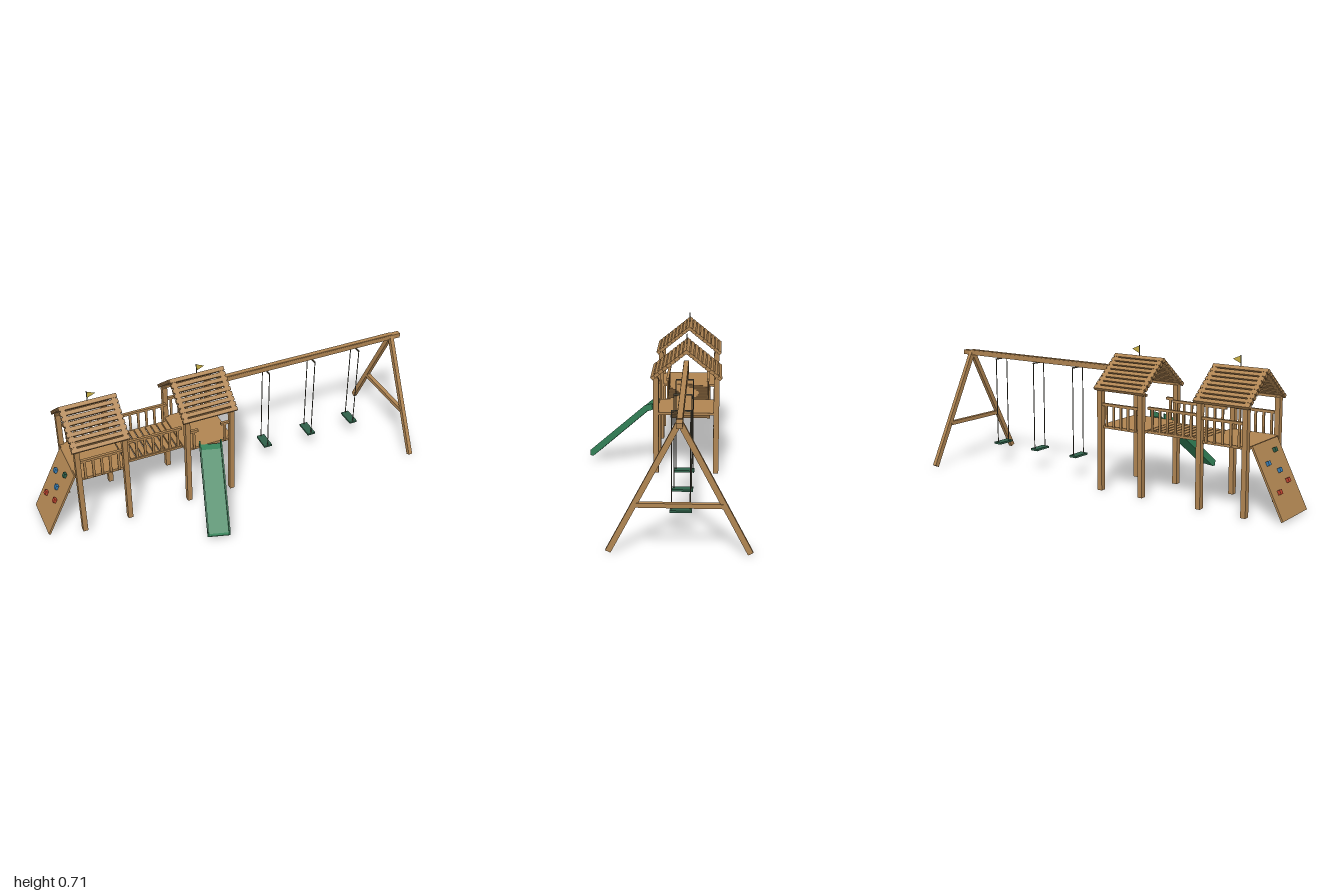
import * as THREE from 'three';

const mat = (name, color) => {
  const m = new THREE.MeshStandardMaterial({ color });
  m.name = name;
  return m;
};

export function createModel() {
  const wood = mat('wood', 0xb08552);
  const green = mat('slideGreen', 0x328057);
  const seatGreen = mat('seatGreen', 0x2f6049);
  const rope = mat('rope', 0x565345);
  const yellow = mat('flagYellow', 0xc9b045);
  yellow.side = THREE.DoubleSide;
  const red = mat('holdRed', 0xc0442f);
  const blue = mat('holdBlue', 0x3a7fb5);

  const root = new THREE.Group();
  root.name = 'playset';
  const Z = -0.1; // centre line of towers and swing beam

  const group = (name, parent = root) => {
    const g = new THREE.Group();
    g.name = name;
    parent.add(g);
    return g;
  };
  const box = (parent, name, m, w, h, d, x, y, z) => {
    const mesh = new THREE.Mesh(new THREE.BoxGeometry(w, h, d), m);
    mesh.name = name;
    mesh.position.set(x, y, z);
    parent.add(mesh);
    return mesh;
  };
  const rod = (parent, name, r, y0, y1, x, z) => {
    const mesh = new THREE.Mesh(new THREE.CylinderGeometry(r, r, y1 - y0, 8), rope);
    mesh.name = name;
    mesh.position.set(x, (y0 + y1) / 2, z);
    parent.add(mesh);
  };

  // Handrail with evenly spaced balusters along x
  const railing = (parent, x0, x1, z, n) => {
    const g = group('railing', parent);
    box(g, 'handrail', wood, x1 - x0, 0.013, 0.014, (x0 + x1) / 2, 0.431, z);
    for (let i = 0; i < n; i++) {
      box(g, 'baluster', wood, 0.012, 0.105, 0.007, x0 + ((i + 0.5) / n) * (x1 - x0), 0.374, z);
    }
  };

  // Towers: posts, deck, slatted gable roof and pennant
  const pitch = 0.68;
  const towerXs = [-0.7075, -0.1525];
  towerXs.forEach((cx, index) => {
    const t = group('tower');
    for (const sx of [-1, 1]) for (const sz of [-1, 1]) {
      box(t, 'post', wood, 0.025, 0.5, 0.028, cx + sx * 0.1175, 0.255, Z + sz * 0.153);
    }
    box(t, 'deck', wood, 0.252, 0.013, 0.3, cx, 0.3195, Z);
    for (const sz of [-1, 1]) {
      box(t, 'topPlate', wood, 0.26, 0.012, 0.014, cx, 0.507, Z + sz * 0.153);
    }

    railing(t, cx - 0.105, cx + 0.105, Z - 0.153, 5);
    if (index === 0) {
      railing(t, cx - 0.105, cx + 0.105, Z + 0.153, 5);
    } else {
      // Front is left open for the slide
      railing(t, cx - 0.105, cx - 0.06, Z + 0.153, 1);
      railing(t, cx + 0.06, cx + 0.105, Z + 0.153, 1);
    }

    const roof = group('roof', t);
    roof.position.set(cx, 0.657, Z);
    for (const turn of [0, Math.PI]) {
      const side = group('roofSide', roof);
      side.rotation.y = turn;
      const slope = group('roofSlope', side);
      slope.rotation.x = pitch;
      for (const sx of [-1, 1]) {
        box(slope, 'rafter', wood, 0.022, 0.016, 0.231, sx * 0.1245, -0.0088, 0.1155);
      }
      for (let i = 0; i < 9; i++) {
        box(slope, 'roofSlat', wood, 0.285, 0.0172, 0.0195, 0, -0.0086, 0.0105 + i * 0.0264);
      }
    }

    rod(t, 'flagPole', 0.0025, 0.645, 0.707, cx, Z);
    const pennant = new THREE.Shape([
      new THREE.Vector2(0, 0.705), new THREE.Vector2(0, 0.668), new THREE.Vector2(0.042, 0.6865),
    ]);
    const flag = new THREE.Mesh(new THREE.ShapeGeometry(pennant), yellow);
    flag.name = 'flag';
    flag.position.set(cx, 0, Z);
    t.add(flag);
  });

  // Bridge between the towers
  const bridge = group('bridge');
  const bx0 = -0.58, bx1 = -0.28;
  for (let i = 0; i < 10; i++) {
    box(bridge, 'bridgePlank', wood, 0.025, 0.01, 0.215, bx0 + 0.015 + i * 0.03, 0.321, -0.1015);
  }
  for (const z of [0.005, -0.208]) {
    box(bridge, 'bridgeBeam', wood, bx1 - bx0, 0.012, 0.012, (bx0 + bx1) / 2, 0.317, z);
    railing(bridge, bx0, bx1, z, 7);
  }

  // Sloping climbing wall with holds; local y runs up the wall
  const wall = group('climbingWall');
  wall.position.set(-0.995, 0.006, Z);
  wall.rotation.z = -Math.atan2(0.16, 0.32);
  box(wall, 'wallPanel', wood, 0.01, 0.358, 0.24, 0, 0.178, 0);
  const holds = [
    [red, 0.11, -0.158], [red, 0.14, -0.05], [blue, 0.19, -0.085],
    [blue, 0.232, -0.158], [seatGreen, 0.273, -0.056],
  ];
  for (const [m, y, z] of holds) {
    box(wall, 'climbingHold', m, 0.018, 0.021, 0.021, -0.01, y / 0.894, z - Z);
  }

  // Slide: side walls and bed extruded from side profiles, angled outward
  const slide = group('slide');
  slide.position.set(-0.15, 0, 0.055);
  slide.rotation.y = -0.29;
  const slidePart = (name, points, width, x) => {
    const shape = new THREE.Shape(points.map(([s, y]) => new THREE.Vector2(s, y)));
    const geo = new THREE.ExtrudeGeometry(shape, { depth: width, bevelEnabled: false });
    geo.translate(0, 0, -width / 2);
    geo.rotateY(-Math.PI / 2);
    const mesh = new THREE.Mesh(geo, green);
    mesh.name = name;
    mesh.position.x = x;
    slide.add(mesh);
  };
  const under = [[0.005, 0.318], [0.032, 0.309], [0.338, 0.032], [0.355, 0.032]];
  slidePart('slideBed', [...under, [0.355, 0.036], [0.343, 0.04], [0.036, 0.319], [0.005, 0.329]], 0.108, 0);
  for (const sx of [-1, 1]) {
    slidePart('slideWall', [...under, [0.355, 0.062], [0.047, 0.338], [0.005, 0.353]], 0.007, sx * 0.0525);
  }

  // Swing beam and its bracket on the tower
  const swings = group('swingSet');
  box(swings, 'swingBeam', wood, 1.04, 0.024, 0.027, 0.48, 0.58, Z);
  box(swings, 'beamCap', wood, 0.99, 0.004, 0.024, 0.455, 0.594, Z);
  box(swings, 'beamBracket', wood, 0.025, 0.075, 0.027, -0.035, 0.5345, Z);

  // A-frame at the far end
  const frame = group('endFrame', swings);
  const spread = 0.302, rise = 0.578;
  for (const s of [-1, 1]) {
    const leg = box(frame, 'frameLeg', wood, 0.02, Math.hypot(spread, rise), 0.025,
      0.95, 0.006 + rise / 2, Z + s * spread / 2);
    leg.rotation.x = -s * Math.atan2(spread, rise);
  }
  box(frame, 'crossBar', wood, 0.022, 0.02, 0.37, 0.95, 0.218, Z);

  // Swings
  for (const x of [0.225, 0.482, 0.738]) {
    const swing = group('swing', swings);
    box(swing, 'swingSeat', seatGreen, 0.043, 0.01, 0.097, x, 0.11, Z);
    for (const s of [-1, 1]) rod(swing, 'swingRope', 0.0024, 0.112, 0.563, x, Z + s * 0.041);
    box(swing, 'ropeHanger', rope, 0.006, 0.006, 0.086, x, 0.566, Z);
  }

  return root;
}
